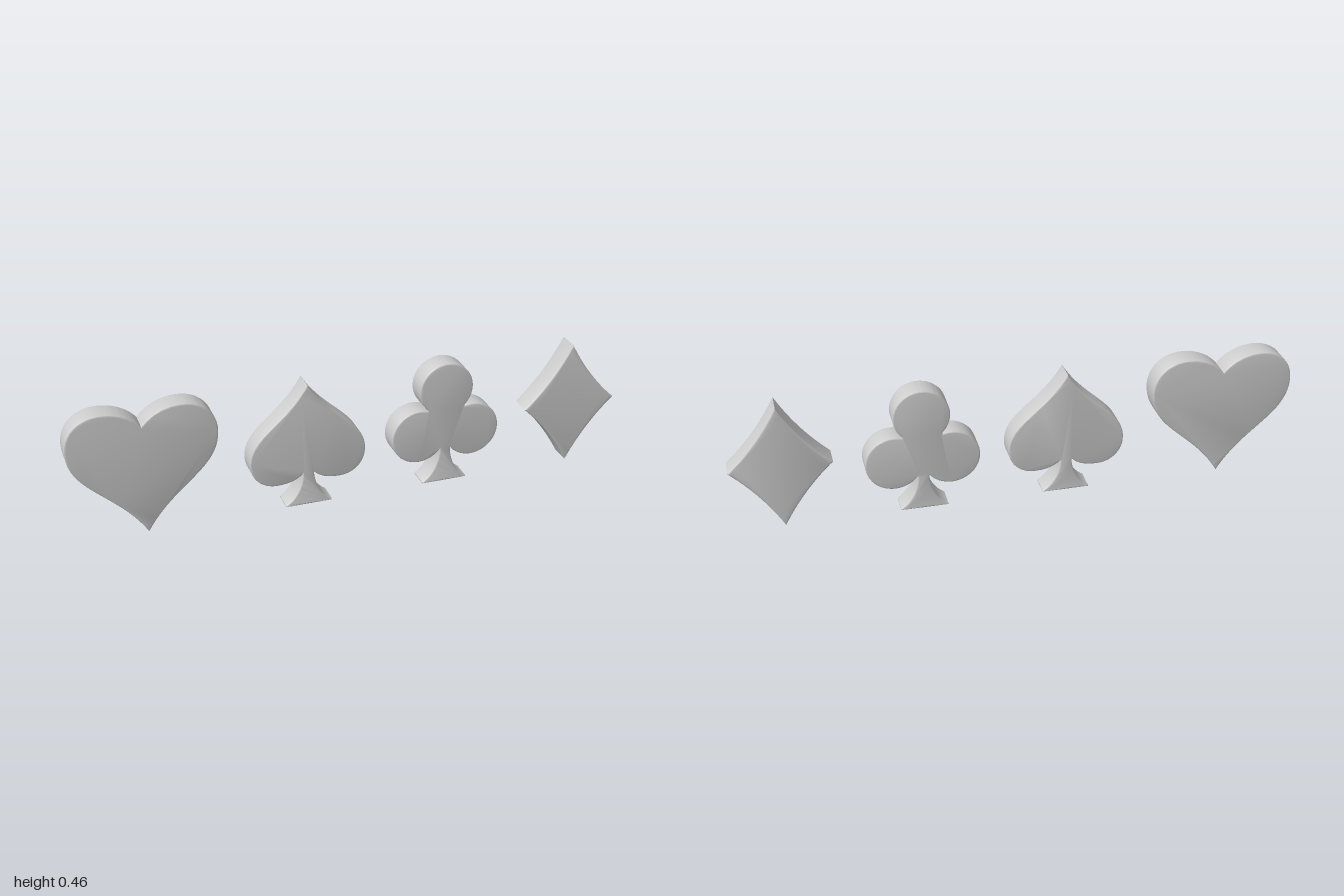
import * as THREE from 'three';
import { toCreasedNormals } from 'three/addons/utils/BufferGeometryUtils.js';

const DEPTH = 0.084, BEVEL = 0.005;

// Mirror a right-hand outline (top centre to bottom centre) and extrude it with a soft edge
function suit(name, x, draw, material) {
  const half = new THREE.Path();
  draw(half);
  const right = half.getPoints(20).filter((p, i, all) => i === 0 || p.distanceTo(all[i - 1]) > 1e-4);
  const left = right.slice(1, -1).reverse().map((p) => new THREE.Vector2(-p.x, p.y));
  const geometry = new THREE.ExtrudeGeometry(new THREE.Shape([...right, ...left]), {
    depth: DEPTH - 2 * BEVEL,
    bevelThickness: BEVEL,
    bevelSize: BEVEL,
    bevelOffset: -BEVEL,
    bevelSegments: 3,
  });
  geometry.translate(0, 0, BEVEL - DEPTH / 2);
  const mesh = new THREE.Mesh(toCreasedNormals(geometry, 0.65), material);
  mesh.name = name;
  mesh.position.x = x;
  return mesh;
}

// Flared foot shared by the spade and the club
function stem(path) {
  path.bezierCurveTo(0.022, 0.07, 0.05, 0.025, 0.084, 0.005);
  path.lineTo(0.084, 0);
  path.lineTo(0, 0);
}

function heart(p) {
  p.moveTo(0, 0.4);
  p.bezierCurveTo(0.03, 0.44, 0.08, 0.463, 0.135, 0.463);
  p.bezierCurveTo(0.205, 0.463, 0.257, 0.415, 0.257, 0.345);
  p.bezierCurveTo(0.257, 0.2, 0.1, 0.17, 0, 0);
}

function spade(p) {
  p.moveTo(0, 0.463);
  p.bezierCurveTo(0.08, 0.325, 0.208, 0.295, 0.208, 0.187);
  p.bezierCurveTo(0.208, 0.13, 0.165, 0.092, 0.115, 0.092);
  p.bezierCurveTo(0.075, 0.092, 0.042, 0.1, 0.02, 0.125);
  stem(p);
}

function club(p) {
  p.moveTo(0, 0.463);
  p.absarc(0, 0.364, 0.099, Math.PI / 2, -0.79, true);
  p.absarc(0.1, 0.193, 0.101, 1.87, -2.49, true);
  stem(p);
}

function diamond(p) {
  p.moveTo(0, 0.463);
  p.quadraticCurveTo(0.072, 0.328, 0.177, 0.232);
  p.quadraticCurveTo(0.072, 0.135, 0, 0);
}

export function createModel() {
  const group = new THREE.Group();
  group.name = 'cardSuits';
  const material = new THREE.MeshStandardMaterial({ color: 0xcccccc });
  group.add(
    suit('heart', -0.743, heart, material),
    suit('spade', -0.173, spade, material),
    suit('club', 0.338, club, material),
    suit('diamond', 0.823, diamond, material),
  );
  return group;
}
